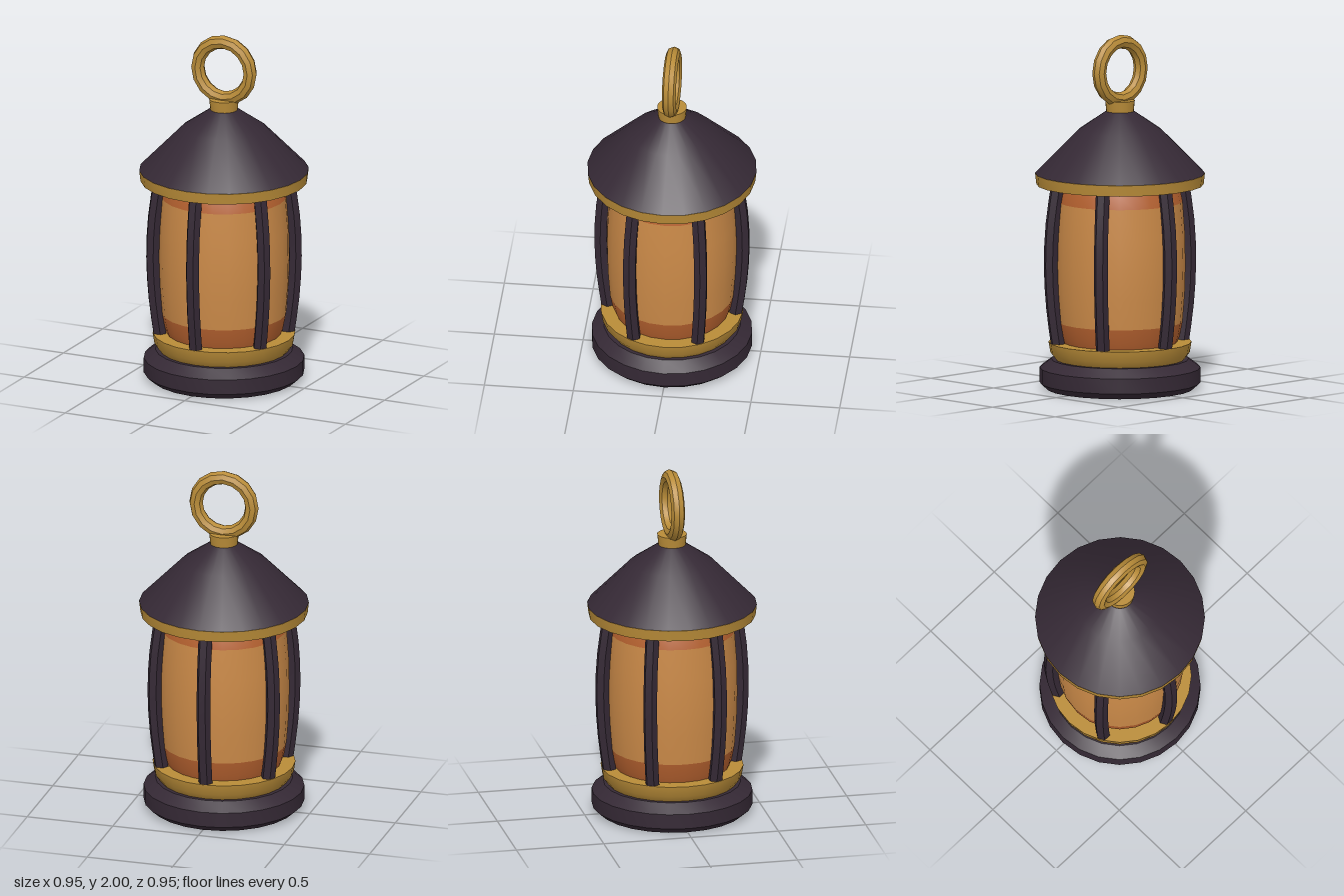
import * as THREE from 'three';
import { toCreasedNormals } from 'three/addons/utils/BufferGeometryUtils.js';

const SIDES = 24;
const CREASE = 0.6;

function makeMaterial(name, color) {
  const m = new THREE.MeshStandardMaterial({ color });
  m.name = name;
  return m;
}

export function createModel() {
  const iron = makeMaterial('darkIron', 0x352935);
  const brass = makeMaterial('brass', 0xb98c38);
  const glass = makeMaterial('amberGlass', 0xcb8a48);
  const glow = makeMaterial('deepAmberGlass', 0xb5612f);

  const lantern = new THREE.Group();
  lantern.name = 'lantern';

  function add(name, geometry, material, parent = lantern) {
    const mesh = new THREE.Mesh(toCreasedNormals(geometry, CREASE), material);
    mesh.name = name;
    parent.add(mesh);
    return mesh;
  }

  // Turned part from [radius, height] points, listed bottom to top
  function turned(name, profile, material) {
    const points = profile.map(([r, y]) => new THREE.Vector2(r, y));
    return add(name, new THREE.LatheGeometry(points, SIDES), material);
  }

  // Base and lower collar
  turned('base', [[0, 0], [0.41, 0], [0.45, 0.035], [0.45, 0.12], [0.385, 0.168], [0, 0.168]], iron);
  turned('lowerCollar', [[0.36, 0.165], [0.39, 0.205], [0.4, 0.265], [0, 0.265]], brass);

  // Bulging glass, darker at both ends
  turned('glassBottom', [[0.315, 0.25], [0.335, 0.3], [0.35, 0.38]], glow);
  turned('glassMiddle', [[0.35, 0.38], [0.362, 0.54], [0.366, 0.7], [0.363, 0.88], [0.35, 1.06]], glass);
  turned('glassTop', [[0.35, 1.06], [0.335, 1.13], [0.315, 1.18]], glow);

  // Six bowed hexagonal bars around the glass
  const path = new THREE.CatmullRomCurve3([
    new THREE.Vector3(0, 0.23, 0.355),
    new THREE.Vector3(0, 0.46, 0.386),
    new THREE.Vector3(0, 0.7, 0.4),
    new THREE.Vector3(0, 0.94, 0.39),
    new THREE.Vector3(0, 1.18, 0.356),
  ]);
  for (let i = 0; i < 6; i++) {
    const bar = new THREE.Group();
    bar.name = 'bar' + (i + 1);
    add('barShaft', new THREE.TubeGeometry(path, 8, 0.04, 6, false), iron, bar);
    const end = add('barFoot', new THREE.CircleGeometry(0.04, 6), iron, bar);
    end.position.set(0, 0.23, 0.355);
    end.rotation.x = Math.PI / 2;
    bar.rotation.y = (i * Math.PI) / 3;
    lantern.add(bar);
  }

  // Roof with its brass rim
  turned('roofRim', [[0, 1.155], [0.468, 1.155], [0.475, 1.217], [0, 1.217]], brass);
  turned('roof', [[0.475, 1.218], [0.237, 1.46], [0.08, 1.568], [0, 1.568]], iron);

  // Finial and hanging ring
  turned('finial', [[0.076, 1.56], [0.083, 1.63], [0, 1.63]], brass);
  add('hangingRing', new THREE.TorusGeometry(0.163, 0.039, 8, 16), brass).position.y = 1.798;

  return lantern;
}
